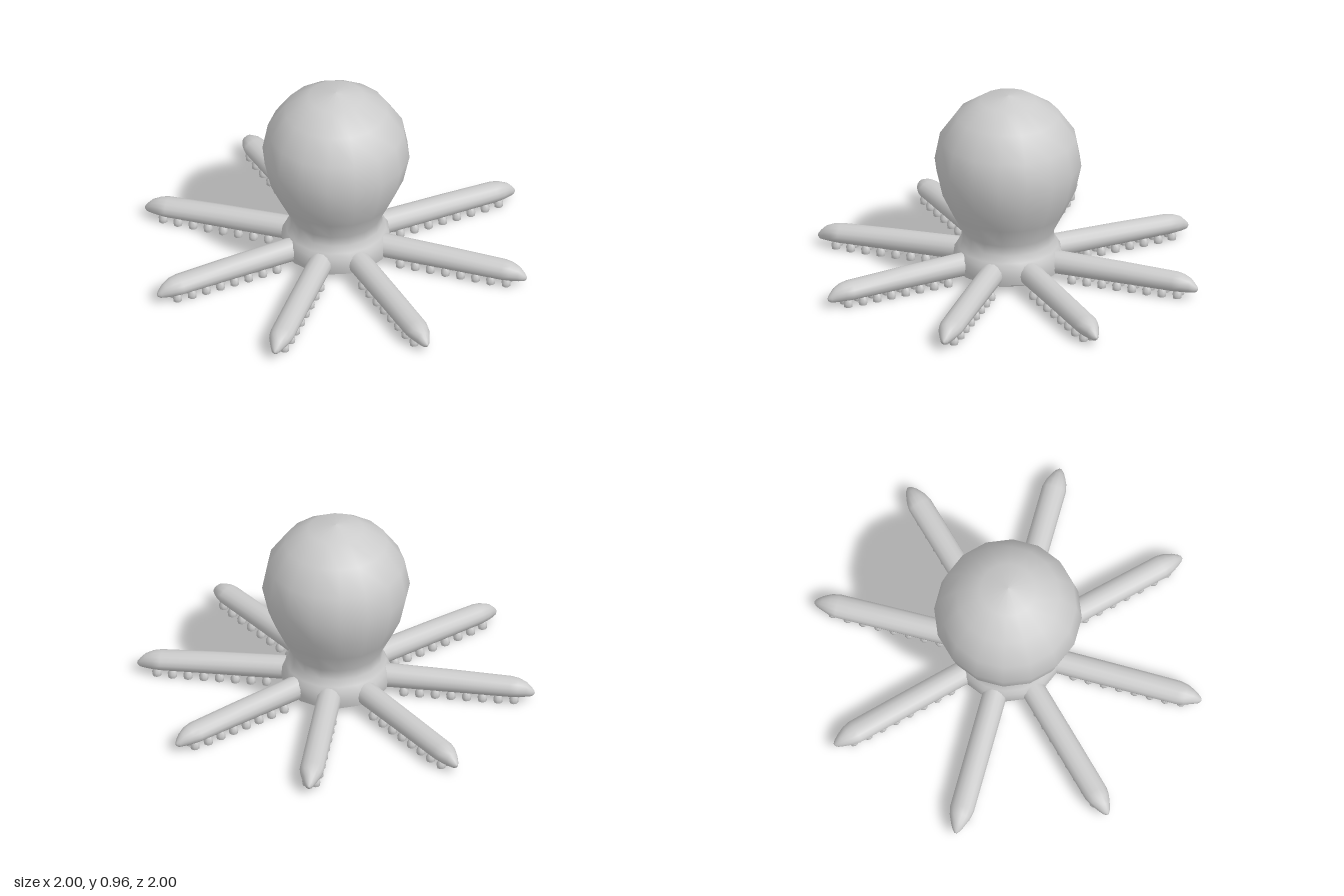
import * as THREE from 'three';

const material = new THREE.MeshStandardMaterial({ color: 0xcccccc, side: THREE.DoubleSide });

// Lathe from [radius, y] pairs listed from bottom to top
function lathe(points, segments, phase = 0) {
  return new THREE.LatheGeometry(points.map(([r, y]) => new THREE.Vector2(r, y)), segments, phase);
}

function addMesh(parent, name, geometry) {
  const mesh = new THREE.Mesh(geometry, material);
  mesh.name = name;
  parent.add(mesh);
  return mesh;
}

// Skin of elliptical rings along +z: [z, half width, bottom y, top y]
function loft(rings, sides) {
  const positions = [], indices = [];
  for (const [z, w, y0, y1] of rings) {
    for (let i = 0; i < sides; i++) {
      const a = (i / sides) * Math.PI * 2;
      positions.push(Math.cos(a) * w, (y0 + y1) / 2 + Math.sin(a) * (y1 - y0) / 2, z);
    }
  }
  for (let j = 0; j < rings.length - 1; j++) {
    for (let i = 0; i < sides; i++) {
      const a = j * sides + i, b = j * sides + (i + 1) % sides;
      indices.push(a, b, a + sides, b, b + sides, a + sides);
    }
  }
  const geometry = new THREE.BufferGeometry();
  geometry.setAttribute('position', new THREE.Float32BufferAttribute(positions, 3));
  geometry.setIndex(indices);
  geometry.computeVertexNormals();
  return geometry;
}

export function createModel() {
  const model = new THREE.Group();
  model.name = 'octopus';

  // Bulbous head narrowing to a neck, then flaring into the arm ring
  const head = [
    [0.265, 0.04], [0.275, 0.085], [0.268, 0.13], [0.252, 0.155], [0.234, 0.19], [0.231, 0.24],
    [0.285, 0.345], [0.337, 0.455], [0.369, 0.60], [0.342, 0.74], [0.258, 0.86], [0.14, 0.94], [0, 0.965],
  ];
  addMesh(model, 'head', lathe(head, 16, Math.PI / 16));

  // Underside with a shallow dished mouth
  const underside = [[0, 0.055], [0.05, 0.05], [0.08, 0.042], [0.12, 0.046], [0.2, 0.03], [0.25, 0.03], [0.265, 0.04]];
  addMesh(model, 'underside', lathe(underside, 16, Math.PI / 16));

  // Tapered arm with a rounded, drooping tip
  const armGeometry = loft([
    [0.16, 0.061, 0.03, 0.152], [0.3, 0.061, 0.03, 0.148], [0.6, 0.061, 0.029, 0.138],
    [0.88, 0.061, 0.028, 0.125], [0.92, 0.052, 0.028, 0.119], [0.96, 0.034, 0.028, 0.102],
    [0.985, 0.02, 0.031, 0.076], [0.997, 0.008, 0.04, 0.06], [1, 0, 0.05, 0.05],
  ], 14);

  // Sucker: a flat cup with a cone running up into the arm
  const suckerGeometry = lathe([
    [0, 0.008], [0.014, 0.006], [0.018, 0], [0.022, 0], [0.024, 0.02], [0.015, 0.038], [0, 0.058],
  ], 8);

  for (let i = 0; i < 8; i++) {
    const arm = new THREE.Group();
    arm.name = 'arm' + (i + 1);
    arm.rotation.y = (i * Math.PI) / 4;
    addMesh(arm, 'armSkin', armGeometry);
    // Two rows of suckers
    for (let k = 0; k < 8; k++) {
      for (const side of [-1, 1]) {
        const z = 0.345 + k * 0.079;
        addMesh(arm, 'sucker', suckerGeometry).position.set(side * (k === 7 ? 0.022 : 0.028), 0, z);
      }
    }
    model.add(arm);
  }
  return model;
}
